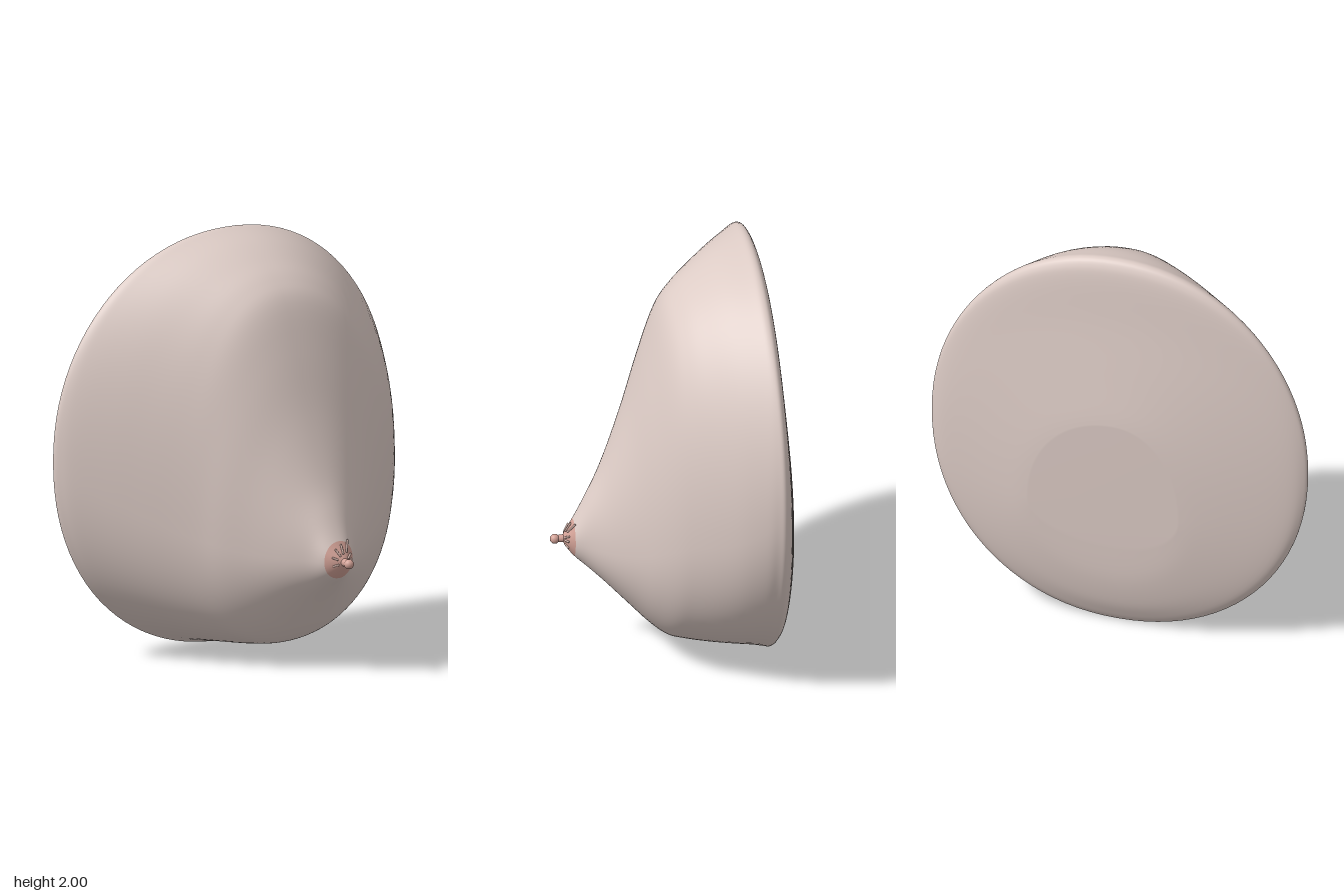
import * as THREE from 'three';

const skin = new THREE.MeshStandardMaterial({ color: 0xdccbc5 });
skin.name = 'skin';
const rose = new THREE.MeshStandardMaterial({ color: 0xd3a297 });
rose.name = 'rose';
const ductTone = new THREE.MeshStandardMaterial({ color: 0xccaca3 });
ductTone.name = 'duct tone';

const SIDES = 96, STEPS = 5;

// Cross-sections from tip to back: z, min x, max x, top y, bottom y, widest y
const SECTIONS = [
  [0.490, 0.085, 0.115, 0.592, 0.562, 0.577],
  [0.475, 0.060, 0.138, 0.615, 0.535, 0.577],
  [0.440, 0.020, 0.175, 0.668, 0.490, 0.577],
  [0.380, -0.03, 0.230, 0.780, 0.435, 0.578],
  [0.300, -0.12, 0.325, 0.940, 0.360, 0.580],
  [0.200, -0.23, 0.450, 1.210, 0.255, 0.595],
  [0.110, -0.33, 0.565, 1.500, 0.160, 0.620],
  [0.030, -0.41, 0.650, 1.720, 0.095, 0.650],
  [-0.05, -0.50, 0.715, 1.820, 0.072, 0.690],
  [-0.15, -0.62, 0.785, 1.892, 0.057, 0.750],
  [-0.25, -0.74, 0.845, 1.948, 0.044, 0.830],
  [-0.35, -0.855, 0.890, 1.987, 0.028, 0.92],
  [-0.40, -0.900, 0.906, 2.000, 0.012, 0.98],
  [-0.43, -0.915, 0.913, 1.975, 0.005, 1.00],
  [-0.45, -0.900, 0.895, 1.900, 0.018, 0.98],
  [-0.475, -0.820, 0.830, 1.670, 0.06, 0.90],
  [-0.51, -0.590, 0.650, 1.420, 0.150, 0.78],
  [-0.537, -0.400, 0.490, 1.230, 0.30, 0.70],
  [-0.546, -0.315, 0.410, 1.150, 0.49, 0.68],
];

// Smooth blend between neighbouring sections
function sectionAt(i, t) {
  const at = k => SECTIONS[Math.min(Math.max(k, 0), SECTIONS.length - 1)];
  const [a, b, c, d] = [at(i - 1), at(i), at(i + 1), at(i + 2)];
  return b.map((p, k) => p + 0.5 * t * (c[k] - a[k]
    + t * (2 * a[k] - 5 * p + 4 * c[k] - d[k] + t * (3 * (p - c[k]) + d[k] - a[k]))));
}

// Each quadrant of a ring is its own quarter of a slightly squared ellipse
function ringPoint([z, left, right, top, bottom, widest], j) {
  const angle = j / SIDES * Math.PI * 2, c = Math.cos(angle), s = Math.sin(angle);
  const x = Math.pow(Math.abs(c), 0.95), y = Math.pow(Math.abs(s), 0.95);
  // The ridge leans to +x towards the tip, and the +x side is widest a little higher
  const cx = THREE.MathUtils.clamp(0.065 + 0.13 * z, 0, 0.1);
  const cy = c > 0 ? widest + 0.1 * Math.exp(-(((z + 0.02) / 0.22) ** 2)) : widest;
  return [c > 0 ? cx + x * (right - cx) : cx - x * (cx - left),
    s > 0 ? cy + y * (top - cy) : cy - y * (cy - bottom), z];
}

function bodyGeometry() {
  const positions = [0.1, 0.577, 0.493], index = [];
  const count = (SECTIONS.length - 1) * STEPS + 1;
  for (let r = 0; r < count; r++) {
    const i = Math.min(Math.floor(r / STEPS), SECTIONS.length - 2);
    const section = sectionAt(i, r / STEPS - i);
    for (let j = 0; j < SIDES; j++) positions.push(...ringPoint(section, j));
  }
  const backCentre = positions.length / 3;
  positions.push(0.05, 0.75, -0.547);

  for (let j = 0; j < SIDES; j++) index.push(0, 1 + j, 1 + (j + 1) % SIDES);
  let roseEnd = 0;
  for (let r = 0; r < count - 1; r++) {
    if (r === 2 * STEPS) roseEnd = index.length;
    for (let j = 0; j < SIDES; j++) {
      const a = 1 + r * SIDES + j, b = 1 + r * SIDES + (j + 1) % SIDES;
      index.push(a, a + SIDES, b + SIDES, a, b + SIDES, b);
    }
  }
  // Flat middle of the back
  const lastRing = 1 + (count - 1) * SIDES;
  for (let j = 0; j < SIDES; j++) index.push(backCentre, lastRing + (j + 1) % SIDES, lastRing + j);

  const g = new THREE.BufferGeometry();
  g.setAttribute('position', new THREE.Float32BufferAttribute(positions, 3));
  g.setIndex(index);
  g.addGroup(0, roseEnd, 0);
  g.addGroup(roseEnd, index.length - roseEnd, 1);
  g.computeVertexNormals();
  return g;
}

export function createModel() {
  const model = new THREE.Group();
  model.name = 'breastModel';
  const add = (name, geometry, material, x = 0, y = 0, z = 0) => {
    const mesh = new THREE.Mesh(geometry, material);
    mesh.name = name;
    mesh.position.set(x, y, z);
    model.add(mesh);
    return mesh;
  };

  // Smooth body with the areola at its tip
  add('body', bodyGeometry(), [rose, skin]);

  // Nipple: short neck and rounded head
  const neck = add('nippleNeck', new THREE.CylinderGeometry(0.016, 0.02, 0.05, 20), rose, 0.1, 0.577, 0.5);
  neck.rotation.x = Math.PI / 2;
  add('nippleHead', new THREE.SphereGeometry(0.023, 24, 16), rose, 0.1, 0.577, 0.527);

  // Small ducts fanning out over the areola: angle in degrees, inner and outer radius
  const ducts = [[5, 0.03, 0.05], [32, 0.03, 0.055], [62, 0.05, 0.1], [88, 0.04, 0.075],
    [118, 0.035, 0.065], [155, 0.035, 0.055], [200, 0.03, 0.05], [320, 0.03, 0.05]];
  for (const [degrees, inner, outer] of ducts) {
    const a = degrees * Math.PI / 180;
    const point = r => new THREE.Vector3(0.1 + r * Math.cos(a), 0.577 + r * Math.sin(a), 0.5 - r * 0.6);
    const from = point(inner), to = point(outer);
    const duct = add('duct', new THREE.CapsuleGeometry(0.005, from.distanceTo(to), 4, 10), ductTone);
    duct.position.copy(from).lerp(to, 0.5);
    duct.quaternion.setFromUnitVectors(new THREE.Vector3(0, 1, 0), to.sub(from).normalize());
  }
  return model;
}
